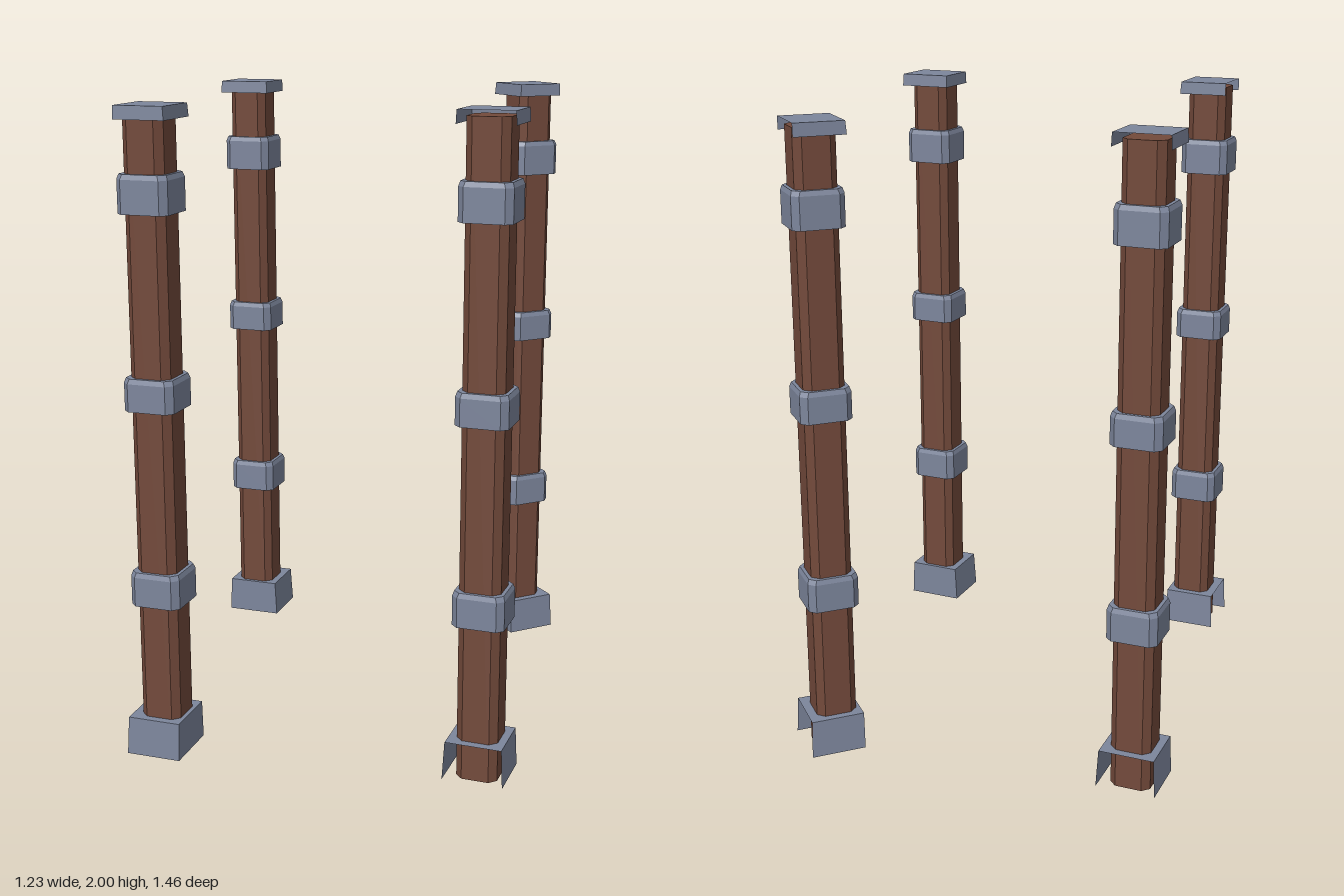
import * as THREE from 'three';

const wood = new THREE.MeshStandardMaterial({ color: 0x734a3b, name: 'brown wood', side: THREE.DoubleSide });
const metal = new THREE.MeshStandardMaterial({ color: 0x7d869c, name: 'blue grey metal', side: THREE.DoubleSide });

// Square outline with cut corners, centred on the origin
function cutSquare(half, cut) {
  const a = half - cut;
  return [[half, -a], [half, a], [a, half], [-a, half], [-half, a], [-half, -a], [-a, -half], [a, -half]];
}

// Flat-shaded solid joining rings of [x, z] points at given heights, closed at both ends
function loft(rings) {
  const pos = [];
  const put = (r, i) => {
    const p = r.pts[i % r.pts.length];
    pos.push(p[0], r.y, p[1]);
  };
  for (let k = 0; k < rings.length - 1; k++) {
    const a = rings[k], b = rings[k + 1];
    for (let i = 0; i < a.pts.length; i++) {
      put(a, i); put(b, i); put(b, i + 1);
      put(a, i); put(b, i + 1); put(a, i + 1);
    }
  }
  const low = rings[0], top = rings[rings.length - 1];
  for (let i = 1; i < low.pts.length - 1; i++) {
    put(low, 0); put(low, i); put(low, i + 1);
    put(top, 0); put(top, i + 1); put(top, i);
  }
  return flat(pos);
}

function flat(pos) {
  const g = new THREE.BufferGeometry();
  g.setAttribute('position', new THREE.Float32BufferAttribute(pos, 3));
  g.computeVertexNormals();
  return g;
}

// Thin sheet cover: a lid with three skirts, open at the +z side and below
function cover(y0, y1, low, top) {
  const ring = (s, y) => [[s.w, y, s.front], [s.w, y, -s.back], [-s.w, y, -s.back], [-s.w, y, s.front]];
  const a = ring(low, y0), b = ring(top, y1);
  const pos = [];
  const quad = (p, q, r, s) => pos.push(...p, ...q, ...r, ...p, ...r, ...s);
  for (let i = 0; i < 3; i++) quad(a[i], a[i + 1], b[i + 1], b[i]);
  quad(b[0], b[1], b[2], b[3]);
  return flat(pos);
}

function add(group, name, geometry, material) {
  const mesh = new THREE.Mesh(geometry, material);
  mesh.name = name;
  group.add(mesh);
}

function createPillar() {
  const g = new THREE.Group();
  const shaft = cutSquare(0.064, 0.022);
  add(g, 'post', loft([{ y: 0, pts: shaft }, { y: 1.982, pts: shaft }]), wood);

  // Three collars with a slightly bevelled top
  const wide = cutSquare(0.08, 0.02), narrow = cutSquare(0.075, 0.02);
  for (const [y0, y1] of [[0.493, 0.6], [1.105, 1.205], [1.69, 1.805]]) {
    add(g, 'collar', loft([{ y: y0, pts: wide }, { y: y1 - 0.015, pts: wide }, { y: y1, pts: narrow }]), metal);
  }

  add(g, 'baseCover', cover(0.005, 0.125,
    { w: 0.094, front: 0.097, back: 0.077 }, { w: 0.088, front: 0.092, back: 0.077 }), metal);
  add(g, 'topCover', cover(1.96, 2,
    { w: 0.086, front: 0.073, back: 0.085 }, { w: 0.084, front: 0.073, back: 0.082 }), metal);
  return g;
}

export function createModel() {
  const model = new THREE.Group();
  model.name = 'fourPillars';
  // x, z and the heading of the open side in degrees
  const places = [
    ['frontRightPillar', -0.505, 0.628, -98],
    ['frontLeftPillar', 0.48, 0.622, -9.5],
    ['backRightPillar', -0.505, -0.588, 172],
    ['backLeftPillar', 0.48, -0.594, 126.5],
  ];
  for (const [name, x, z, turn] of places) {
    const p = createPillar();
    p.name = name;
    p.position.set(x, 0, z);
    p.rotation.y = THREE.MathUtils.degToRad(turn);
    model.add(p);
  }
  return model;
}
